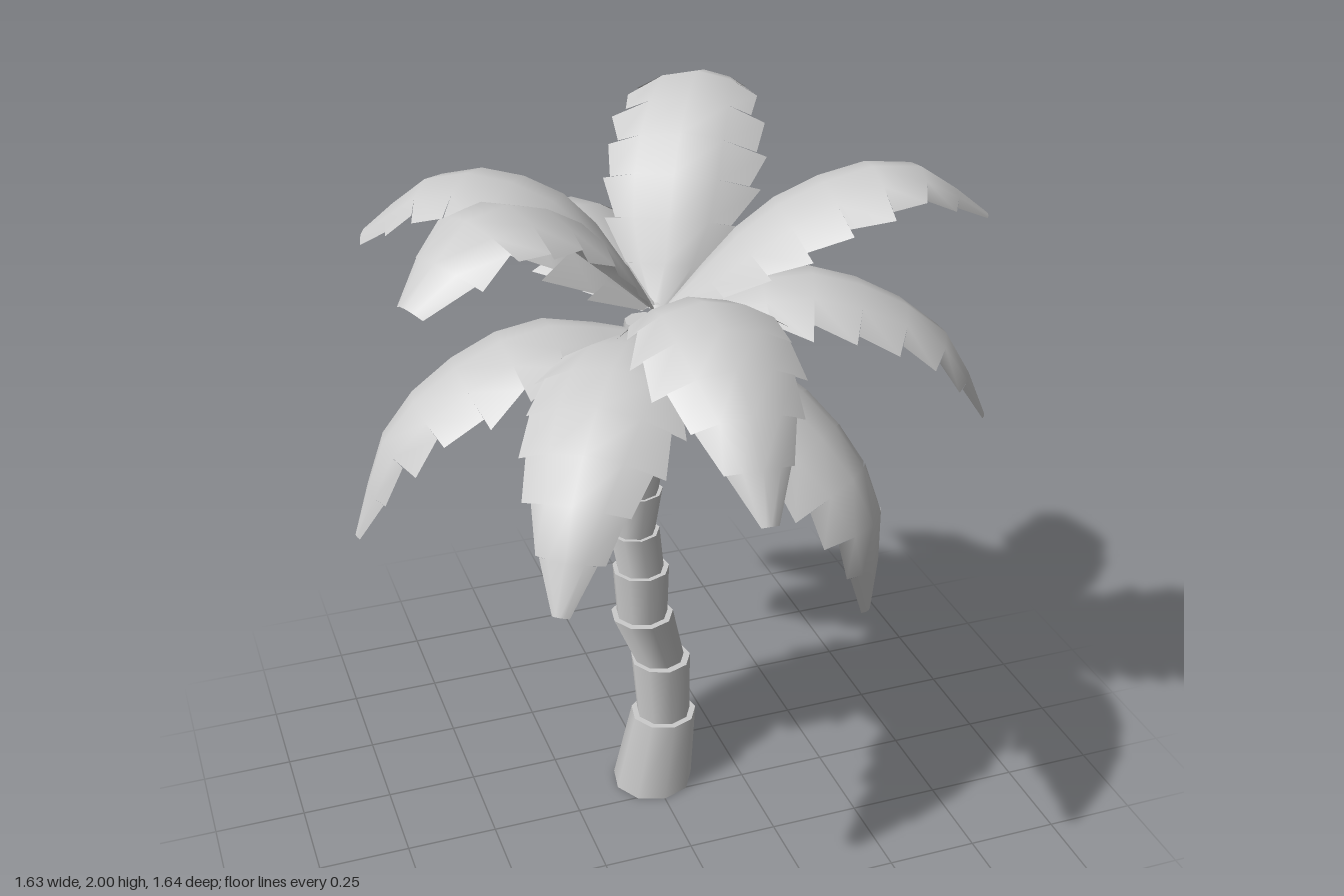
import * as THREE from 'three';
import { mergeVertices } from 'three/addons/utils/BufferGeometryUtils.js';

const bark = new THREE.MeshStandardMaterial({ color: 0xcccccc });
const foliage = new THREE.MeshStandardMaterial({ color: 0xcccccc, side: THREE.DoubleSide });

// Small seeded generator for the ragged leaf edges
let seed = 7;
const rand = () => (seed = (seed * 16807) % 2147483647) / 2147483647;

// One trunk collar: a flared cylinder sheared from centre a to centre b, [x, y, z, radius]
function collar(a, b, first) {
  const h = b[1] - a[1];
  const bottom = first ? a[3] : a[3] * 0.82;
  const geo = new THREE.CylinderGeometry(b[3], bottom, h, 9, 1);
  const p = geo.attributes.position;
  for (let i = 0; i < p.count; i++) {
    const t = p.getY(i) / h + 0.5;
    p.setXYZ(i,
      p.getX(i) + THREE.MathUtils.lerp(a[0], b[0], t),
      p.getY(i) + (a[1] + b[1]) / 2 + (t > 0.5 ? 0.01 : 0),
      p.getZ(i) + THREE.MathUtils.lerp(a[2], b[2], t));
  }
  return geo;
}

// Half widths along a leaf, with a pointed or a blunt end
const pointed = [0.03, 0.115, 0.165, 0.185, 0.19, 0.18, 0.155, 0.12, 0.075, 0.02];
const blunt = [0.03, 0.11, 0.165, 0.185, 0.19, 0.185, 0.175, 0.15, 0.12, 0.05];
function leafWidth(widths, t) {
  const s = Math.min(t, 0.9999) * (widths.length - 1), i = Math.floor(s);
  return THREE.MathUtils.lerp(widths[i], widths[i + 1], s - i);
}

// Arched leaf: drooping cross-sections swept along a curve, saw-toothed at the rim
function leaf({ tip, mid, reach = [0.35, 0.72], base = 1.53, scale = 1, bend = 0, widths = pointed }) {
  const [x, y, z] = tip;
  const side = new THREE.Vector3(z, 0, -x).normalize();
  const at = (f, h, offset = 0) =>
    new THREE.Vector3(x * f, h, z * f - 0.02 * (1 - f)).addScaledVector(side, offset);
  const curve = new THREE.CatmullRomCurve3(
    [at(0.03, base), at(reach[0], mid[0], bend / 2), at(reach[1], mid[1], bend), at(1, y)]);
  const across = [-1, -0.55, 0, 0.55, 1];
  const n = 8, pos = [], index = [];

  const addRow = (t, rim) => {
    const c = curve.getPointAt(t);
    const up = new THREE.Vector3().crossVectors(curve.getTangentAt(t), side).normalize();
    const w = leafWidth(widths, t) * scale;
    across.forEach((u, k) => {
      const v = u * (k === 0 ? rim[0] : k === 4 ? rim[1] : 1);
      const q = c.clone().addScaledVector(side, v * w)
        .addScaledVector(up, -0.38 * w * v * v);
      pos.push(q.x, q.y, q.z);
    });
  };

  const notch = () => 0.84 + 0.14 * rand();
  const tooth = () => 0.98 + 0.16 * rand();
  for (let i = 0; i < n; i++) {
    addRow(i / n, [notch(), notch()]);
    addRow((i + 1) / n, [tooth(), tooth()]);
    for (let k = 0; k < 4; k++) {
      const a = i * 10 + k, b = a + 5;
      index.push(a, a + 1, b, a + 1, b + 1, b);
    }
  }
  let geo = new THREE.BufferGeometry();
  geo.setAttribute('position', new THREE.Float32BufferAttribute(pos, 3));
  geo.setIndex(index);
  geo = mergeVertices(geo, 1e-4);
  geo.computeVertexNormals();
  return geo;
}

export function createModel() {
  const tree = new THREE.Group();
  tree.name = 'palmTree';

  // Curved trunk of stacked collars
  const trunk = new THREE.Group();
  trunk.name = 'trunk';
  const rings = [
    [0, 0, -0.085, 0.115], [0.04, 0.21, -0.1, 0.094], [0.045, 0.37, -0.14, 0.086],
    [0.015, 0.48, -0.215, 0.09], [0.03, 0.6, -0.27, 0.083], [0.01, 0.73, -0.27, 0.074],
    [0.015, 0.87, -0.25, 0.072], [0.005, 0.99, -0.2, 0.07], [-0.005, 1.1, -0.165, 0.066],
    [-0.02, 1.23, -0.13, 0.066], [-0.035, 1.36, -0.085, 0.064], [-0.03, 1.48, -0.05, 0.05],
  ];
  for (let i = 0; i < rings.length - 1; i++) {
    const m = new THREE.Mesh(collar(rings[i], rings[i + 1], i === 0), bark);
    m.name = 'trunkCollar';
    trunk.add(m);
  }
  tree.add(trunk);

  // Crown: tip position and the two heights the arch passes through
  const far = [0.42, 0.85];
  const steep = [0.52, 0.98];
  const crown = new THREE.Group();
  crown.name = 'crown';
  const leaves = [
    // Upper tier
    { tip: [0.82, 1.74, 0.14], mid: [1.8, 1.9], base: 1.54, bend: -0.05 },
    { tip: [-0.7, 1.76, 0.28], mid: [1.84, 1.93], base: 1.54, widths: blunt },
    { tip: [-0.65, 1.66, -0.47], mid: [1.79, 1.83], base: 1.54, scale: 1.05, widths: blunt },
    { tip: [0.35, 1.91, -0.6], mid: [1.87, 2], base: 1.52, scale: 1.05, widths: blunt },
    // Middle tier
    { tip: [-0.03, 1.37, 0.82], mid: [1.7, 1.56], reach: far },
    { tip: [0.79, 1.24, 0.27], mid: [1.63, 1.48], reach: far, base: 1.5 },
    { tip: [-0.31, 1.37, -0.81], mid: [1.7, 1.57], reach: far, widths: blunt },
    { tip: [0.24, 1.28, -0.82], mid: [1.66, 1.51], reach: far },
    // Lower tier
    { tip: [0.39, 0.85, 0.48], mid: [1.4, 1.13], reach: steep, base: 1.49 },
    { tip: [0.39, 0.87, -0.46], mid: [1.4, 1.13], reach: steep, base: 1.49 },
    { tip: [-0.47, 1.12, 0.65], mid: [1.56, 1.37], reach: far, base: 1.49 },
    { tip: [-0.81, 1.02, -0.03], mid: [1.52, 1.32], reach: far, base: 1.47 },
  ];
  for (const spec of leaves) {
    const m = new THREE.Mesh(leaf(spec), foliage);
    m.name = 'leaf';
    crown.add(m);
  }
  tree.add(crown);
  return tree;
}
